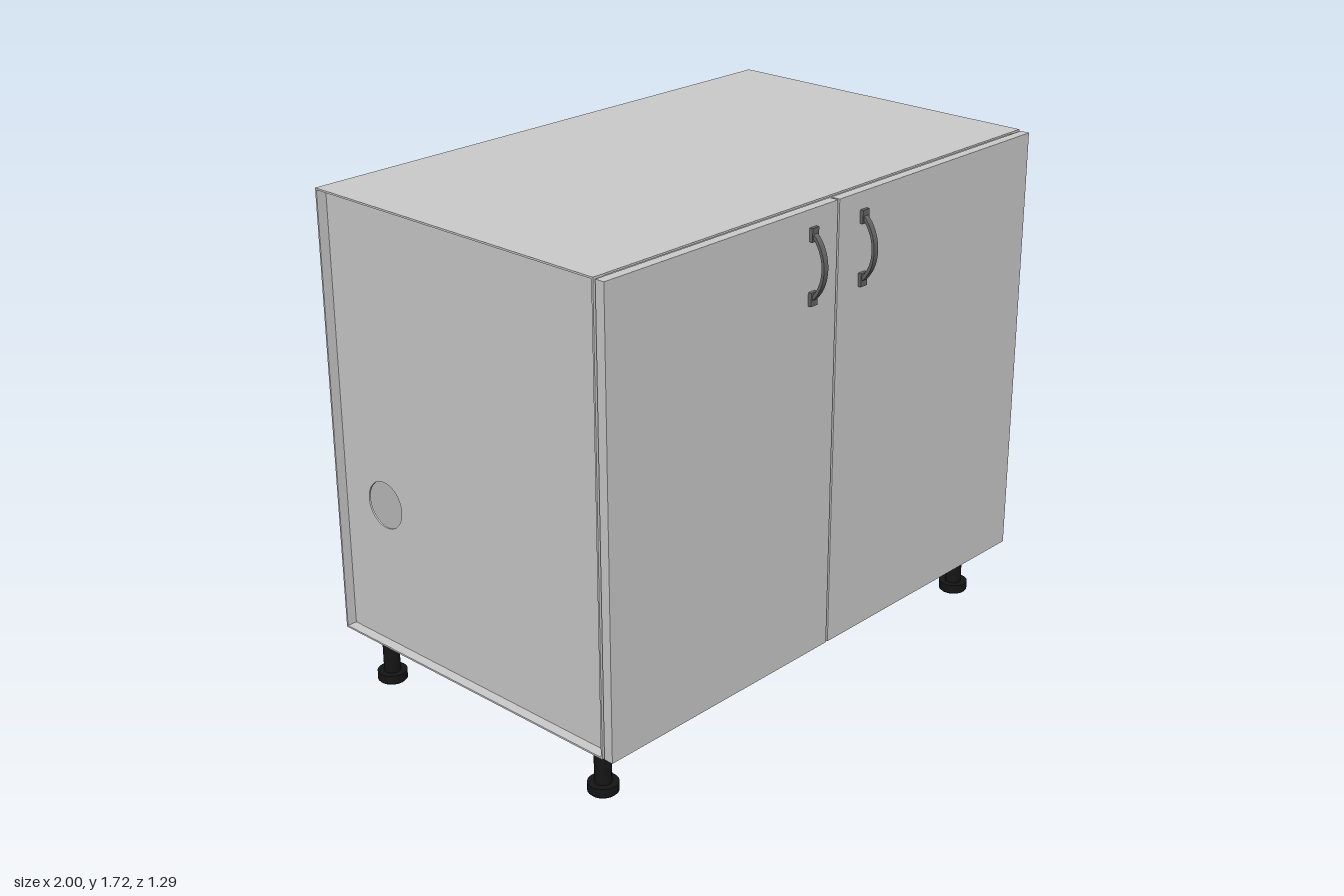
import * as THREE from 'three';

export function createModel() {
  const model = new THREE.Group();
  const grey = new THREE.MeshStandardMaterial({ color: 0xcccccc, side: THREE.DoubleSide });
  const metal = new THREE.MeshStandardMaterial({ color: 0x666666 });
  const black = new THREE.MeshStandardMaterial({ color: 0x151515 });

  const BOTTOM = 0.2, TOP = 1.72, BACK = -0.65, FRONT = 0.55;
  const HEIGHT = TOP - BOTTOM, DEPTH = FRONT - BACK;
  const INSET = 0.035, SHEET = 0.006;

  function add(name, geometry, material, x = 0, y = 0, z = 0, parent = model) {
    const mesh = new THREE.Mesh(geometry, material);
    mesh.name = name;
    mesh.position.set(x, y, z);
    parent.add(mesh);
    return mesh;
  }

  // Box given by its limits on each axis
  function addBox(name, [x0, x1], [y0, y1], [z0, z1], material = grey, parent = model) {
    return add(name, new THREE.BoxGeometry(x1 - x0, y1 - y0, z1 - z0), material,
      (x0 + x1) / 2, (y0 + y1) / 2, (z0 + z1) / 2, parent);
  }

  // Carcass: top and bottom sheets, recessed back
  addBox('topPanel', [-1, 1], [TOP - SHEET, TOP], [BACK, FRONT]);
  addBox('bottomPanel', [-1, 1], [BOTTOM, BOTTOM + SHEET], [BACK, FRONT]);
  addBox('backPanel', [-1 + INSET, 1 - INSET], [BOTTOM + SHEET, TOP - SHEET],
    [BACK + INSET - SHEET, BACK + INSET]);

  // Side panel outline with a round pipe hole, drawn in z and y
  const sideShape = new THREE.Shape();
  sideShape.moveTo(BACK, BOTTOM + SHEET).lineTo(FRONT, BOTTOM + SHEET)
    .lineTo(FRONT, TOP - SHEET).lineTo(BACK, TOP - SHEET).closePath();
  sideShape.holes.push(new THREE.Path().absarc(-0.45, 0.7, 0.08, 0, Math.PI * 2, true));
  const sideGeometry = new THREE.ExtrudeGeometry(sideShape,
    { depth: SHEET, bevelEnabled: false, curveSegments: 32 });
  sideGeometry.rotateY(-Math.PI / 2);

  // Handle bow: a thin curved strip, drawn in z and y
  const bowShape = new THREE.Shape();
  bowShape.moveTo(0, 0.115).bezierCurveTo(0.073, 0.06, 0.073, -0.06, 0, -0.115)
    .lineTo(0, -0.1).bezierCurveTo(0.06, -0.05, 0.06, 0.05, 0, 0.1).closePath();
  const bowGeometry = new THREE.ExtrudeGeometry(bowShape,
    { depth: 0.02, bevelEnabled: false, curveSegments: 20 });
  bowGeometry.translate(0, 0, -0.01).rotateY(-Math.PI / 2);

  // Leg: collar, shaft and round foot
  const legProfile = [[0, 0.005], [0.045, 0.005], [0.05, 0.01], [0.05, 0.04], [0.028, 0.04],
    [0.028, 0.15], [0.038, 0.15], [0.038, 0.19], [0, 0.19]]
    .map(([r, y]) => new THREE.Vector2(r, y - 0.005));
  const legGeometry = new THREE.LatheGeometry(legProfile, 24).toNonIndexed();
  legGeometry.computeVertexNormals();

  for (const [side, s] of [['left', 1], ['right', -1]]) {
    const span = (a, b) => (s > 0 ? [a, b] : [-b, -a]);

    // Recessed side and the thin upright edges framing it
    add(side + 'SidePanel', sideGeometry, grey, s > 0 ? 1 - INSET : -1 + INSET + SHEET);
    addBox(side + 'BackEdge', span(1 - INSET, 1), [BOTTOM, TOP], [BACK, BACK + SHEET]);
    addBox(side + 'FrontEdge', span(1 - INSET, 1), [BOTTOM, TOP], [FRONT - SHEET, FRONT]);
    addBox(side + 'BackReturn', span(1 - INSET - SHEET, 1 - INSET), [BOTTOM, TOP],
      [BACK, BACK + INSET]);

    // Door
    addBox(side + 'Door', span(0.004, 0.998), [BOTTOM + 0.002, TOP - 0.004], [0.557, 0.59]);

    // Bow handle with two mounting feet
    const handle = new THREE.Group();
    handle.name = side + 'Handle';
    handle.position.set(s * 0.12, 1.535, 0.59);
    model.add(handle);
    add('handleBow', bowGeometry, metal, 0, 0, 0, handle);
    for (const e of [1, -1]) {
      add('handleFoot', new THREE.BoxGeometry(0.03, 0.044, 0.012), metal, 0, e * 0.102, 0.006, handle);
    }

    // Adjustable legs with square mounting plates
    for (const [end, z] of [['Front', 0.45], ['Back', -0.55]]) {
      const leg = new THREE.Group();
      leg.name = side + end + 'Leg';
      leg.position.set(s * 0.9, 0, z);
      model.add(leg);
      add('legPost', legGeometry, black, 0, 0, 0, leg);
      add('legCollar', new THREE.CylinderGeometry(0.048, 0.044, 0.04, 24), black, 0, 0.172, 0, leg);
      add('legPlate', new THREE.BoxGeometry(0.1, 0.012, 0.1), black, 0, BOTTOM - 0.006, 0, leg);
    }
  }
  return model;
}
